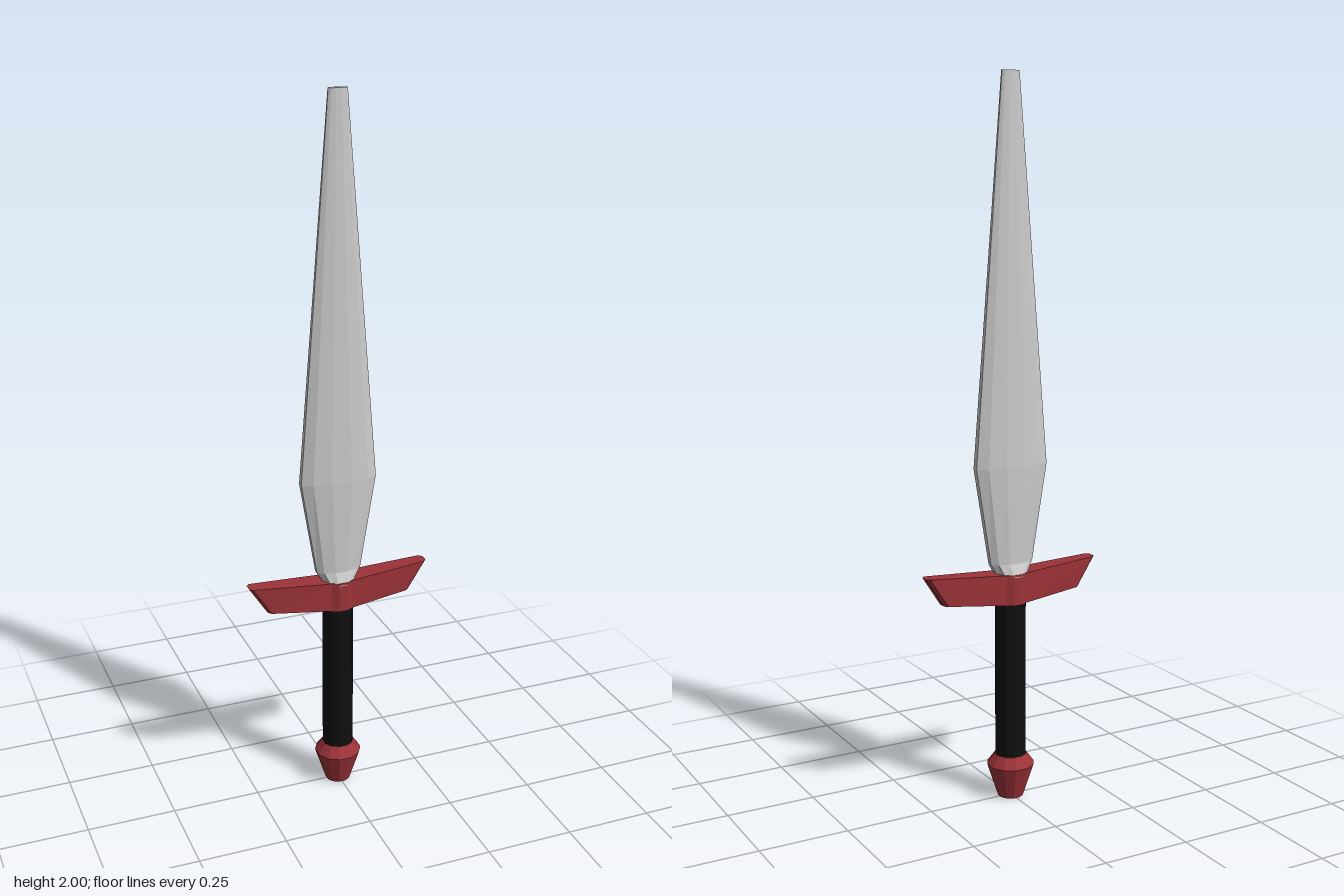
import * as THREE from 'three';

const SIDES = 12;

// Ellipse ring of 12 corners with half-step offset, so faces point along x and z
function ring(y, rx, rz = rx) {
  return Array.from({ length: SIDES }, (_, i) => {
    const a = ((i + 0.5) / SIDES) * Math.PI * 2;
    return [rx * Math.cos(a), y, rz * Math.sin(a)];
  });
}

// Skin a stack of rings from bottom to top and close both ends with fans
function loft(rings, yBottom, yTop) {
  const n = rings[0].length;
  const index = [];
  rings.slice(1).forEach((_, r) => {
    for (let i = 0; i < n; i++) {
      const a = r * n + i, b = r * n + ((i + 1) % n);
      index.push(a, a + n, b, b, a + n, b + n);
    }
  });
  const bottom = rings.length * n, top = bottom + 1, last = (rings.length - 1) * n;
  for (let i = 0; i < n; i++) {
    const j = (i + 1) % n;
    index.push(bottom, i, j, top, last + j, last + i);
  }
  const points = [...rings.flat(), [0, yBottom, 0], [0, yTop, 0]];
  const geometry = new THREE.BufferGeometry();
  geometry.setAttribute('position', new THREE.Float32BufferAttribute(points.flat(), 3));
  geometry.setIndex(index);
  const flat = geometry.toNonIndexed();
  flat.computeVertexNormals();
  return flat;
}

// Guard outline: a 12-sided core whose side faces are drawn out into two arms
function guardRing(reach, yEnd, yCore) {
  const quarter = [
    [reach, yEnd, 0.011], [reach - 0.009, yEnd, 0.021],
    [0.031, yCore, 0.034], [0.012, yCore, 0.043],
  ];
  // Drop the two inner corners to follow the core, then mirror to all quarters
  const right = quarter;
  const left = quarter.map(([x, y, z]) => [-x, y, z]).reverse();
  const front = [...right, ...left];
  const back = front.map(([x, y, z]) => [x, y, -z]).reverse();
  return [...front, ...back];
}

export function createModel() {
  const group = new THREE.Group();
  const steel = new THREE.MeshStandardMaterial({ color: 0xcccccc, flatShading: true });
  const red = new THREE.MeshStandardMaterial({ color: 0x9c3338, flatShading: true });
  const black = new THREE.MeshStandardMaterial({ color: 0x101010, flatShading: true });

  const add = (name, geometry, material) => {
    const mesh = new THREE.Mesh(geometry, material);
    mesh.name = name;
    group.add(mesh);
  };

  // Pommel: flares up from a narrow foot, then closes onto the grip
  add('pommel', loft([ring(0, 0.036), ring(0.095, 0.067), ring(0.125, 0.045)], 0, 0.125), red);

  // Grip
  add('grip', loft([ring(0.12, 0.044), ring(0.575, 0.044)], 0.12, 0.575), black);

  // Crossguard: arms rise and lengthen toward the top
  add('crossguard', loft([guardRing(0.212, 0.585, 0.567), guardRing(0.265, 0.667, 0.652)], 0.565, 0.65), red);

  // Blade: round root, leaf-shaped body, blunt tip
  add('blade', loft([
    ring(0.645, 0.045, 0.045),
    ring(0.68, 0.067, 0.03),
    ring(0.95, 0.113, 0.035),
    ring(2, 0.027, 0.01),
  ], 0.645, 2), steel);

  return group;
}
